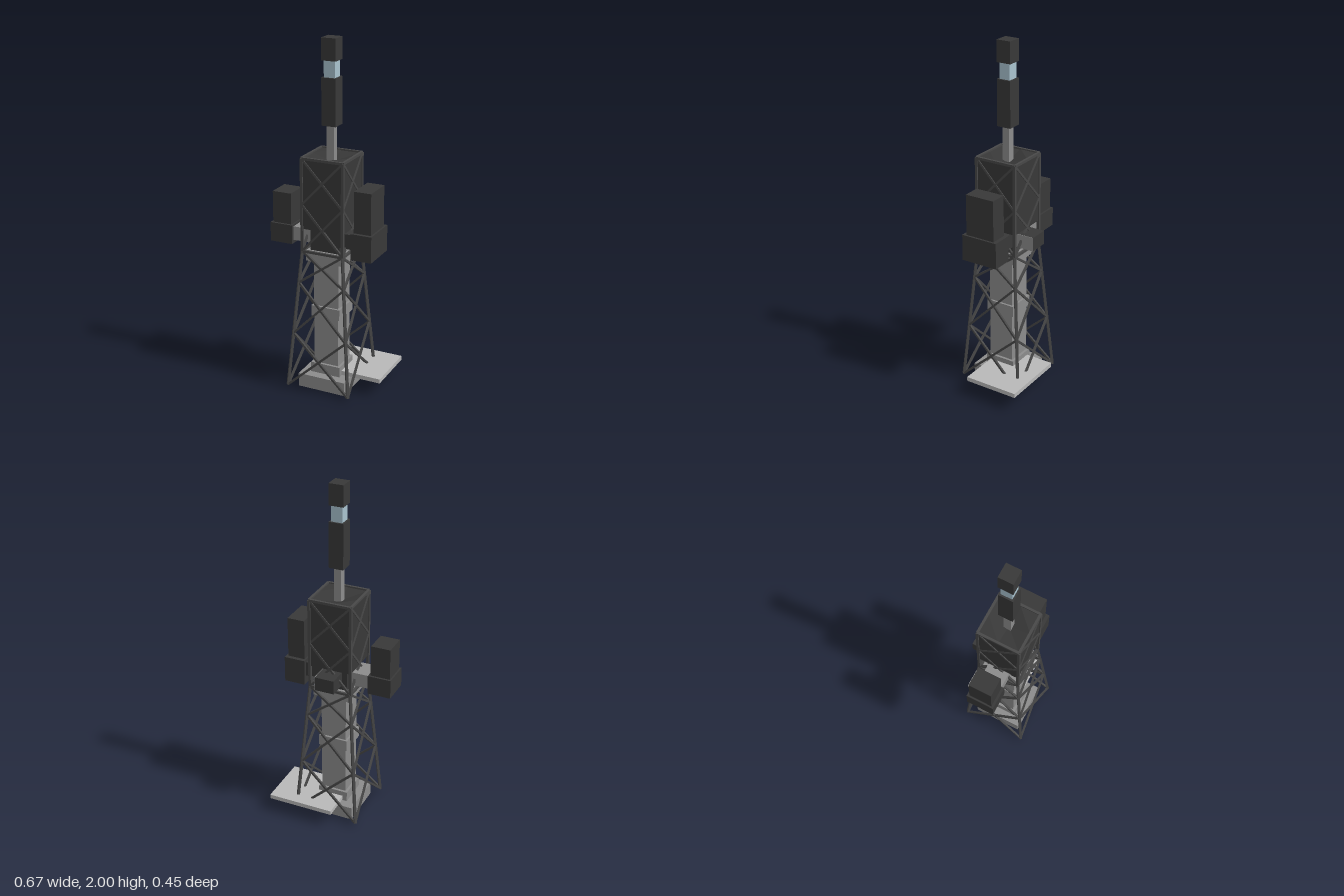
import * as THREE from 'three';

const CX = 0.007, CZ = 0.026; // tower axis

export function createModel() {
  const root = new THREE.Group();
  const mat = (color) => new THREE.MeshStandardMaterial({ color, flatShading: true });
  const dark = mat(0x383838), steel = mat(0x484848), grey = mat(0x8c8c8c);
  const pale = mat(0xb8b8b8), glass = mat(0xa9c3cf);

  const add = (name, geo, m, parent = root) => {
    const mesh = new THREE.Mesh(geo, m);
    mesh.name = name;
    parent.add(mesh);
    return mesh;
  };
  // Box from its limits on each axis
  const block = (name, x0, x1, y0, y1, z0, z1, m) => {
    const b = add(name, new THREE.BoxGeometry(x1 - x0, y1 - y0, z1 - z0), m);
    b.position.set((x0 + x1) / 2, (y0 + y1) / 2, (z0 + z1) / 2);
    return b;
  };
  // Square box centred on the tower axis
  const tier = (name, half, y0, y1, m) =>
    block(name, CX - half, CX + half, y0, y1, CZ - half, CZ + half, m);

  // Central column, from the footing up to the beacon
  tier('footing', 0.143, 0, 0.08, grey);
  tier('columnFoot', 0.09, 0.08, 0.14, grey);
  tier('column', 0.075, 0.14, 0.77, grey);
  tier('columnCollar', 0.087, 0.43, 0.495, grey);
  tier('columnHead', 0.108, 0.77, 0.83, grey);
  tier('cabinNeck', 0.088, 0.83, 0.96, dark);
  tier('mast', 0.021, 1.3, 1.53, grey);
  tier('mastSleeve', 0.042, 1.53, 1.79, dark);
  tier('beaconLight', 0.032, 1.79, 1.88, glass);
  tier('beaconCap', 0.042, 1.88, 2, dark);

  // Cabin with a roof that dips towards the mast
  const cabin = new THREE.BoxGeometry(0.246, 0.4, 0.246, 2, 1, 2);
  const p = cabin.attributes.position;
  for (let i = 0; i < p.count; i++) {
    const middle = Math.abs(p.getX(i)) < 0.01 && Math.abs(p.getZ(i)) < 0.01;
    if (middle && p.getY(i) > 0) p.setY(i, 0.165);
  }
  cabin.computeVertexNormals();
  add('cabin', cabin, dark).position.set(CX, 1.16, CZ);

  // Service platform at the back left corner
  block('platform', -0.055, 0.335, 0.085, 0.11, -0.23, 0.09, pale);

  // Side pods, each a base with a taller cabinet on it, and their arms
  block('rightPodBase', -0.335, -0.2, 0.84, 0.95, -0.056, 0.107, dark);
  block('rightPodCabinet', -0.325, -0.212, 0.95, 1.13, -0.043, 0.093, dark);
  block('rightArm', -0.2, -0.08, 0.86, 0.94, -0.038, 0.089, grey);
  block('leftPodBase', 0.17, 0.292, 0.82, 0.97, -0.083, 0.135, dark);
  block('leftPodCabinet', 0.18, 0.28, 0.97, 1.205, -0.06, 0.115, dark);
  block('leftArm', 0.09, 0.17, 0.87, 0.955, -0.063, 0.113, dark);
  block('backArm', -0.05, 0.063, 0.86, 0.94, -0.173, -0.06, dark);
  block('backArmEnd', 0.063, 0.066, 0.86, 0.94, -0.173, -0.06, grey);

  // Lattice: four legs leaning in to the waist, then upright around the cabin
  const lattice = new THREE.Group();
  lattice.name = 'lattice';
  root.add(lattice);
  const beam = (name, a, b, t) => {
    const d = b.clone().sub(a);
    const m = add(name, new THREE.BoxGeometry(t, t, d.length()), steel, lattice);
    m.position.copy(a).add(b).multiplyScalar(0.5);
    m.lookAt(b);
  };
  const LOW = 0.02, WAIST = 0.83, TOP = 1.36;
  const spread = (y) => THREE.MathUtils.lerp(0.188, 0.122, Math.min(1, (y - LOW) / (WAIST - LOW)));
  const corners = [[1, 1], [-1, 1], [-1, -1], [1, -1]];
  const at = (c, y) => new THREE.Vector3(CX + c[0] * spread(y), y, CZ + c[1] * spread(y));
  // The corner over the platform stands on it
  const foot = (i) => (i === 3 ? 0.09 : LOW);
  const levels = [LOW, 0.34, 0.645, WAIST, 1.1, TOP];

  corners.forEach((c, i) => {
    const j = (i + 1) % 4, n = corners[j];
    beam('leg', at(c, foot(i)), at(c, WAIST), 0.015);
    beam('cabinPost', at(c, WAIST), at(c, TOP), 0.015);
    for (const y of [WAIST, TOP]) beam('ring', at(c, y), at(n, y), 0.014);
    for (let k = 0; k + 1 < levels.length; k++) {
      const y0 = levels[k], y1 = levels[k + 1];
      for (const [from, to, id] of [[c, n, i], [n, c, j]]) {
        const a = at(from, y0), b = at(to, y1);
        // Shorten the lowest braces that land on the platform
        if (k === 0 && id === 3) a.lerp(b, (foot(3) - y0) / (y1 - y0));
        beam('brace', a, b, 0.012);
      }
    }
  });

  return root;
}
